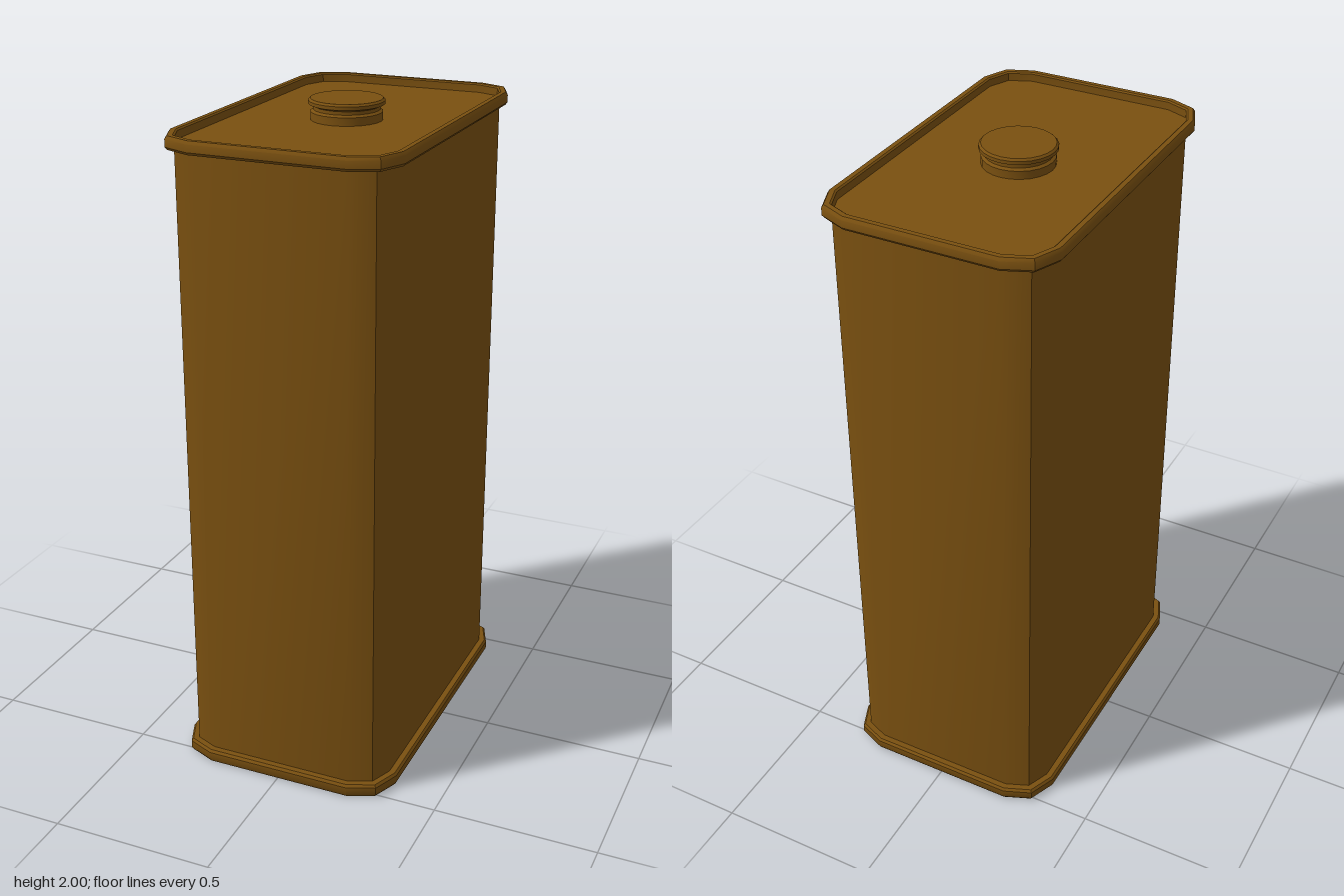
import * as THREE from 'three';
import { toCreasedNormals } from 'three/addons/utils/BufferGeometryUtils.js';

// Rounded-rectangle ring at height y, grown outward by d; every corner has two facets.
function ring(d, y, scale = 1) {
  const hx = 0.325 + d, hz = 0.522 + d, r = 0.098 + d * 0.8;
  const points = [];
  for (let corner = 0; corner < 4; corner++) {
    const sx = corner === 0 || corner === 3 ? 1 : -1;
    const sz = corner < 2 ? 1 : -1;
    for (let k = 0; k < 3; k++) {
      const a = corner * Math.PI / 2 + k * Math.PI / 4;
      points.push([
        (sx * (hx - r) + r * Math.cos(a)) * scale, y,
        (sz * (hz - r) + r * Math.sin(a)) * scale,
      ]);
    }
  }
  return points;
}

// Skin a list of rings, bottom to top along the outside.
function loft(rings) {
  const n = rings[0].length, index = [];
  for (let i = 0; i < rings.length - 1; i++) {
    for (let j = 0; j < n; j++) {
      const a = i * n + j, b = i * n + (j + 1) % n;
      index.push(a, a + n, b, b, a + n, b + n);
    }
  }
  const geometry = new THREE.BufferGeometry();
  geometry.setAttribute('position', new THREE.Float32BufferAttribute(rings.flat(2), 3));
  geometry.setIndex(index);
  return toCreasedNormals(geometry, 0.6);
}

export function createModel() {
  const group = new THREE.Group();
  const material = new THREE.MeshStandardMaterial({ color: 0x7a5010, side: THREE.DoubleSide });
  const add = (name, geometry) => {
    const mesh = new THREE.Mesh(geometry, material);
    mesh.name = name;
    group.add(mesh);
  };

  // Tall body wall
  add('body', loft([ring(0, 0.03), ring(0, 1.935)]));

  // Folded rims with recessed end panels
  add('topRim', loft([
    ring(-0.002, 1.926), ring(0.018, 1.926), ring(0.024, 1.934), ring(0.024, 1.956),
    ring(0.018, 1.965), ring(0.003, 1.965), ring(-0.002, 1.961),
    ring(-0.002, 1.938), ring(0, 1.938, 0),
  ]));
  add('bottomRim', loft([
    ring(0, 0.022, 0), ring(-0.002, 0.022), ring(-0.002, 0.004), ring(0.003, 0),
    ring(0.018, 0), ring(0.024, 0.009), ring(0.024, 0.033),
    ring(0.018, 0.041), ring(-0.002, 0.041),
  ]));

  // Round cap on a waisted neck
  const capProfile = [
    [0.106, 1.936], [0.106, 1.962], [0.098, 1.968], [0.098, 1.978],
    [0.112, 1.984], [0.112, 1.994], [0.106, 2], [0, 2],
  ].map(([x, y]) => new THREE.Vector2(x, y));
  add('cap', toCreasedNormals(new THREE.LatheGeometry(capProfile, 24), 0.6));

  return group;
}
